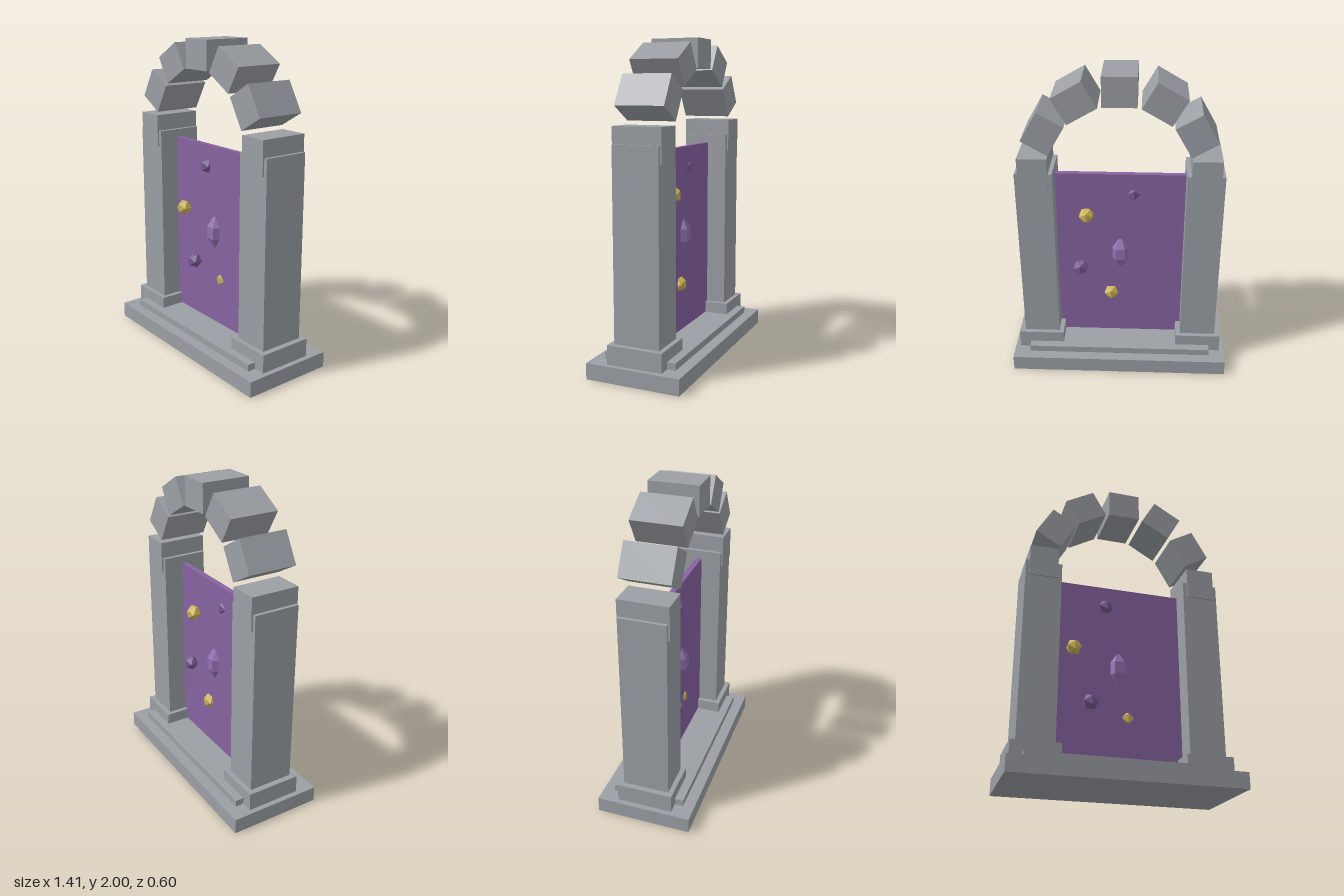
import * as THREE from 'three';

export function createModel() {
  const model = new THREE.Group();
  model.name = 'stonePortal';

  const mat = (name, color) => {
    const m = new THREE.MeshStandardMaterial({ color, flatShading: true });
    m.name = name;
    return m;
  };
  const stone = mat('stone', 0x9b9fa4);
  const veil = mat('portalPurple', 0x8763a1);
  const crystal = mat('crystalPurple', 0x9270b0);
  const shard = mat('shardPurple', 0x775a92);
  const gold = mat('gold', 0xccb455);

  const add = (name, geometry, material, x, y, z) => {
    const mesh = new THREE.Mesh(geometry, material);
    mesh.name = name;
    mesh.position.set(x, y, z);
    model.add(mesh);
    return mesh;
  };
  // Box centred on x and z, given by its bottom and top heights
  const slab = (name, material, x, w, y0, y1, d) =>
    add(name, new THREE.BoxGeometry(w, y1 - y0, d), material, x, (y0 + y1) / 2, 0);

  // Stepped base
  slab('base', stone, 0, 1.41, 0, 0.1, 0.6);
  slab('step', stone, 0, 1.2, 0.1, 0.143, 0.46);

  // Pillars on plinths
  for (const [side, s] of [['left', 1], ['right', -1]]) {
    slab(side + 'Plinth', stone, s * 0.525, 0.296, 0.1, 0.217, 0.352);
    slab(side + 'Pillar', stone, s * 0.522, 0.23, 0.217, 1.385, 0.292);
  }

  // Seven arch blocks spaced around a half circle
  const blockShape = new THREE.BoxGeometry(0.207, 0.182, 0.312);
  for (let i = -3; i <= 3; i++) {
    const a = (i * Math.PI) / 6;
    const block = add('archBlock', blockShape, stone,
      0.524 * Math.sin(a), 1.385 + 0.524 * Math.cos(a), 0);
    block.rotation.z = -a;
  }

  // Portal sheet between the pillars
  slab('portalSheet', veil, 0, 0.82, 0.143, 1.333, 0.036);

  // Long central crystal piercing the sheet
  const profile = [[0, -0.135], [0.062, -0.04], [0.062, 0.04], [0, 0.135]]
    .map(([r, y]) => new THREE.Vector2(r, y));
  add('centralCrystal', new THREE.LatheGeometry(profile, 6, Math.PI / 6), crystal, 0, 0.768, 0);

  // Small floating shards on both faces
  const shards = [
    ['purpleShard', shard, -0.085, 1.195, 0.01],
    ['goldShard', gold, -0.295, 0.873, 0.045],
    ['purpleShard', shard, -0.182, 0.527, 0.045],
    ['goldShard', gold, 0.06, 0.455, -0.013],
    ['goldShard', gold, 0.215, 1.055, -0.045],
    ['purpleShard', shard, 0.26, 0.665, -0.045],
  ];
  const shardShape = new THREE.IcosahedronGeometry(0.052, 0);
  for (const [name, material, x, y, z] of shards) add(name, shardShape, material, x, y, z);

  return model;
}
